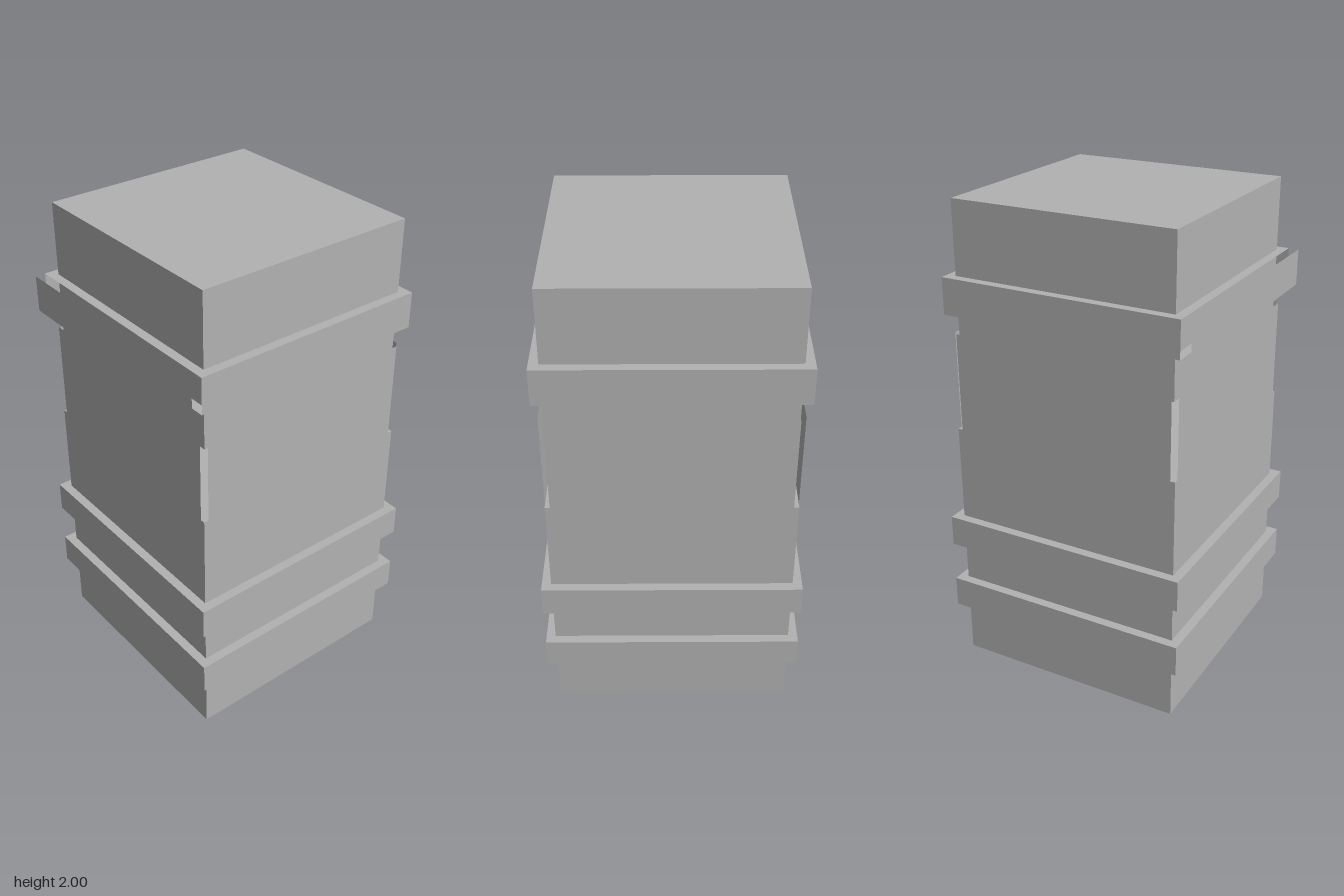
import * as THREE from 'three';

export function createModel() {
  const model = new THREE.Group();
  const pillar = new THREE.Group();
  pillar.name = 'pillar';
  pillar.position.set(-0.002, 0, -0.011);
  model.add(pillar);

  const grey = new THREE.MeshStandardMaterial({ color: 0xb2b2b2, side: THREE.DoubleSide });
  grey.name = 'stoneGrey';

  const add = (name, geometry, x, y, z, turn = 0) => {
    const mesh = new THREE.Mesh(geometry, grey);
    mesh.name = name;
    mesh.position.set(x, y, z);
    mesh.rotation.y = turn;
    pillar.add(mesh);
    return mesh;
  };

  // Square block given by half width and bottom and top heights
  const block = (name, half, y0, y1) =>
    add(name, new THREE.BoxGeometry(half * 2, y1 - y0, half * 2), 0, (y0 + y1) / 2, 0);

  // Main body and the raised bands around it
  block('lowerShaft', 0.489, 0, 1.06);
  block('upperBlock', 0.469, 1.37, 2);
  block('lowerBand', 0.527, 0.23, 0.36);
  block('middleBand', 0.527, 0.53, 0.66);

  // Thin wall panels above the shaft, leaving a slot at each corner
  for (let i = 0; i < 4; i++) {
    const a = (i * Math.PI) / 2;
    add('wallPanel', new THREE.PlaneGeometry(0.938, 0.41),
      Math.sin(a) * 0.489, 1.265, Math.cos(a) * 0.489, a);
  }

  // Upper band: open at the front, where its face stands forward as a loose plate
  const band = block('upperBand', 0.507, 1.55, 1.70);
  const index = Array.from(band.geometry.index.array);
  index.splice(24, 6); // drop the +z face
  band.geometry.setIndex(index);
  band.geometry.clearGroups();
  add('upperBandFrontPlate', new THREE.PlaneGeometry(1.014, 0.15), 0, 1.625, 0.549);

  return model;
}
